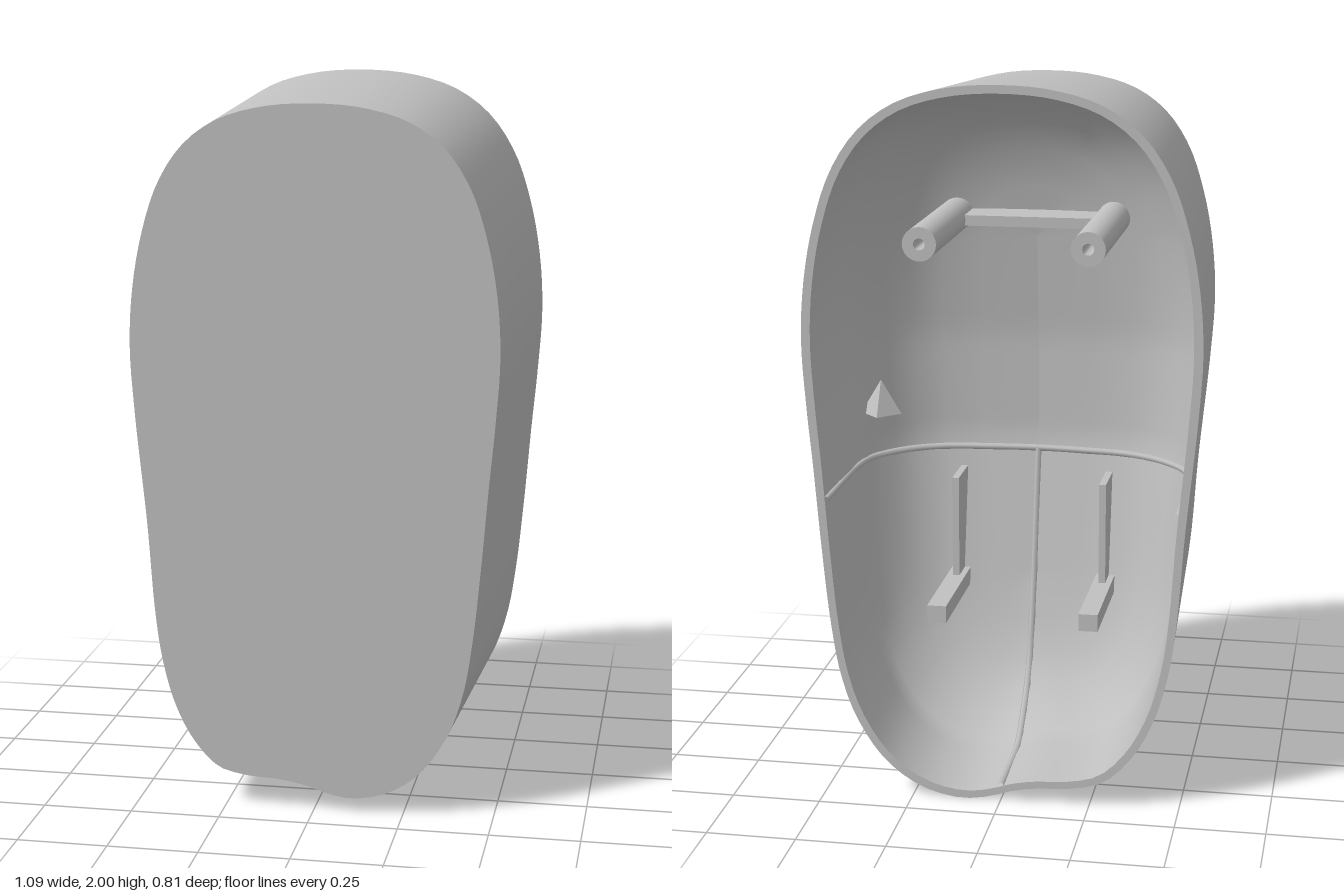
import * as THREE from 'three';
import { toCreasedNormals } from 'three/addons/utils/BufferGeometryUtils.js';

const BACK = -0.405, FRONT = 0.405, DRAFT = 0.042, N = 128;

// Rim outline, counter-clockwise from the top
const outline = new THREE.CatmullRomCurve3([
  [0, 2], [-0.15, 1.988], [-0.28, 1.948], [-0.38, 1.875], [-0.455, 1.765], [-0.505, 1.62],
  [-0.535, 1.46], [-0.545, 1.3], [-0.535, 1.12], [-0.505, 0.8], [-0.487, 0.55], [-0.468, 0.41],
  [-0.43, 0.27], [-0.37, 0.155], [-0.29, 0.075], [-0.2, 0.05], [-0.1, 0.043], [-0.03, 0.03],
  [0.04, 0.008], [0.12, 0], [0.23, 0.028], [0.33, 0.1], [0.41, 0.22], [0.455, 0.35],
  [0.48, 0.5], [0.5, 0.7], [0.52, 0.95], [0.535, 1.12], [0.545, 1.3], [0.535, 1.46],
  [0.505, 1.62], [0.455, 1.765], [0.38, 1.875], [0.28, 1.948], [0.15, 1.988],
].map(([x, y]) => new THREE.Vector3(x, y, 0)), true);
const rim = Array.from({ length: N }, (_, i) => outline.getPointAt(i / N));

// Outline moved inwards along its normals
function outerRing(inset, z) {
  return rim.map((p, i) => {
    const t = outline.getTangentAt(i / N);
    return new THREE.Vector3(p.x - t.y * inset, p.y + t.x * inset, z);
  });
}

// Cavity profile: [fraction towards the middle axis, z, share of the floor slope]
const cavity = [[0.045, BACK, 0], [0.06, -0.03, 0.6], [0.1, 0.06, 0.9], [0.2, 0.13, 1],
  [0.32, 0.18, 1], [0.48, 0.215, 1], [0.7, 0.23, 1], [1, 0.24, 1]];
function innerPoint(p, [t, z, slope]) {
  const axisY = THREE.MathUtils.clamp(p.y, 0.5, 1.5);
  const y = p.y + (axisY - p.y) * t;
  const rise = 0.2 * Math.max(0, 0.9 - y) + 0.12 * Math.max(0, y - 1.2);
  return new THREE.Vector3(p.x * (1 - t), y, z - rise * slope);
}

// Closed skin through a list of rings
function loft(rings) {
  const index = [];
  for (let i = 0; i < rings.length - 1; i++) {
    for (let j = 0; j < N; j++) {
      const k = (j + 1) % N;
      const a = i * N + j, b = i * N + k, c = a + N, d = b + N;
      index.push(a, b, c, b, d, c);
    }
  }
  const g = new THREE.BufferGeometry().setFromPoints(rings.flat());
  g.setIndex(index);
  g.computeVertexNormals();
  return g;
}

export function createModel() {
  const model = new THREE.Group();
  model.name = 'housing';
  const grey = new THREE.MeshStandardMaterial({ color: 0xc0c0c0 });
  grey.name = 'light grey';
  const add = (name, geometry, x = 0, y = 0, z = 0) => {
    const mesh = new THREE.Mesh(geometry, grey);
    mesh.name = name;
    mesh.position.set(x, y, z);
    model.add(mesh);
    return mesh;
  };

  // Tapered shell, flat front, open back
  const backRing = outerRing(0, BACK), frontRing = outerRing(DRAFT, FRONT);
  const innerRings = cavity.map((c) => rim.map((p) => innerPoint(p, c)));
  add('outerWall', loft([backRing, frontRing]));
  add('frontFace', new THREE.ShapeGeometry(new THREE.Shape(frontRing)), 0, 0, FRONT);
  add('rimEdge', loft([innerRings[0], backRing]));
  add('cavity', loft([...innerRings].reverse()));

  // Thin seams on the cavity surface
  const seam = (name, points) => {
    const path = new THREE.CatmullRomCurve3(points, false, 'centripetal');
    add(name, new THREE.TubeGeometry(path, 60, 0.01, 6));
  };
  const across = (x) => cavity.map((c) => innerPoint(new THREE.Vector3(x, 0.856, 0), c));
  seam('crossSeam', [...across(0.511), ...across(-0.509).reverse().slice(1)]);
  const down = cavity.map((c) => innerPoint(new THREE.Vector3(0, 0.022, 0), c));
  seam('lowerSeam', [...down, new THREE.Vector3(0, 0.856, 0.231)]);

  // Hollow screw posts, square pegs and fins, mirrored
  const postProfile = [[0.047, 0], [0.047, 0.565], [0.016, 0.565], [0.016, 0.4], [0, 0.4]]
    .map(([r, h]) => new THREE.Vector2(r, h));
  const post = toCreasedNormals(new THREE.LatheGeometry(postProfile, 24).rotateX(-Math.PI / 2), 0.6);
  for (const side of [1, -1]) {
    add('screwPost', post, side * 0.229, 1.565, 0.22);
    add('peg', new THREE.BoxGeometry(0.055, 0.05, 0.42), side * 0.218, 0.475, -0.01);
    add('fin', new THREE.BoxGeometry(0.02, 0.3, 0.17), side * 0.218, 0.65, 0.145);
  }

  // Bridge between the posts
  add('postBridge', new THREE.BoxGeometry(0.44, 0.03, 0.17), 0, 1.565, 0.141);

  // Small gusset on the left wall
  const gusset = new THREE.ConeGeometry(0.06, 0.1, 4).toNonIndexed();
  gusset.computeVertexNormals();
  add('wallGusset', gusset, 0.435, 1.04, 0.05);
  return model;
}
